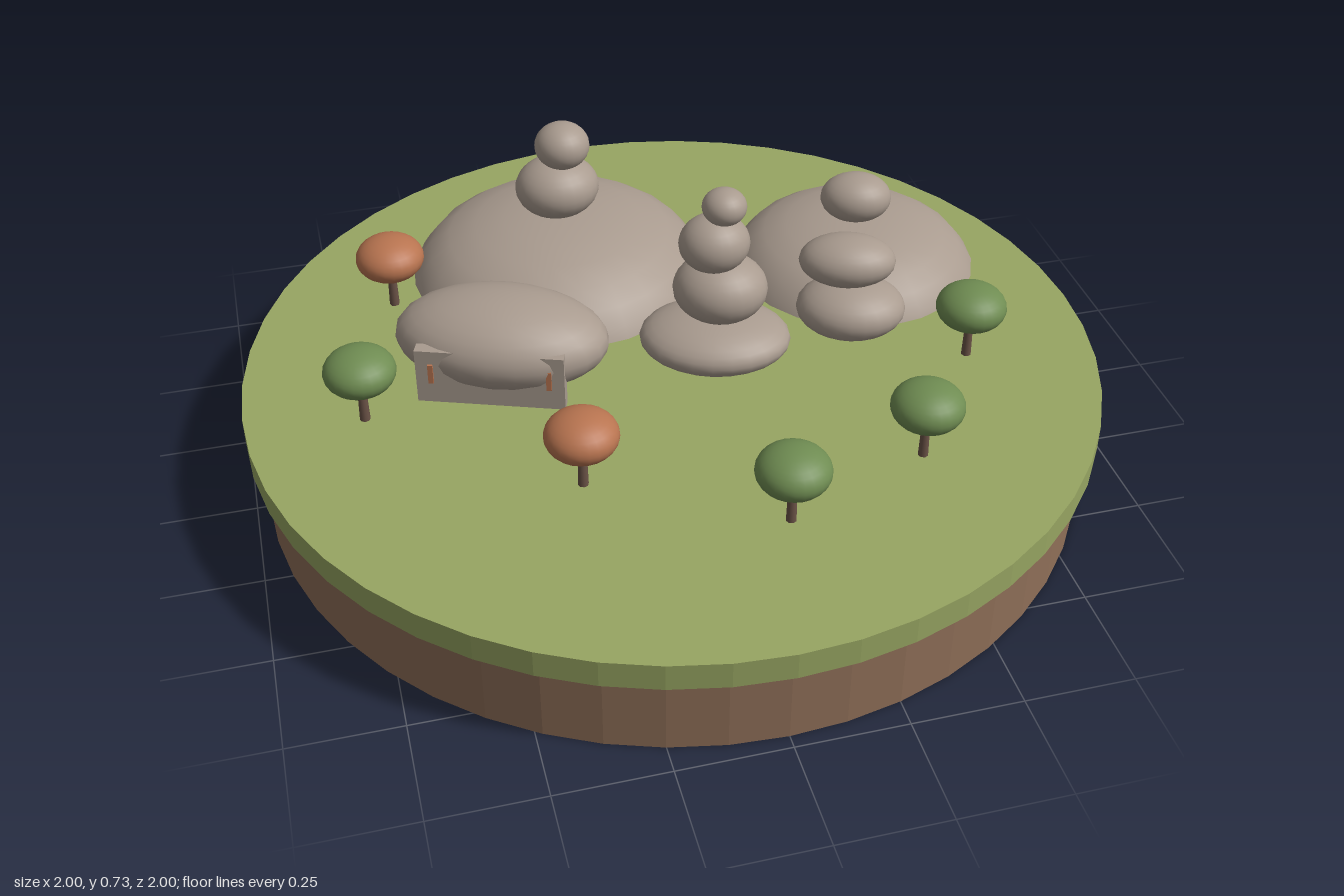
import * as THREE from 'three';

const flat = (name, color, extra = {}) => {
  const m = new THREE.MeshStandardMaterial({ color, ...extra });
  m.name = name;
  return m;
};

export function createModel() {
  const model = new THREE.Group();
  const earth = flat('earth brown', 0x8f6f58, { flatShading: true });
  const grass = flat('grass green', 0x97a562, { flatShading: true });
  const stone = flat('stone grey', 0xa99b8f);
  const bark = flat('bark brown', 0x6b5347);
  const leaf = flat('leaf green', 0x6f8c52);
  const autumn = flat('autumn orange', 0xb87450);
  const GROUND = 0.265;

  const add = (parent, name, geometry, material, x, y, z) => {
    const mesh = new THREE.Mesh(geometry, material);
    mesh.name = name;
    mesh.position.set(x, y, z);
    parent.add(mesh);
    return mesh;
  };
  const ball = new THREE.SphereGeometry(1, 24, 16);
  const ellipsoid = (parent, name, mat, [x, y, z, rx, ry, rz, turn = 0, tilt = 0]) => {
    const mesh = add(parent, name, ball, mat, x, y, z);
    mesh.scale.set(rx, ry, rz);
    mesh.rotation.set(0, turn, tilt);
    return mesh;
  };

  // Round island: earth drum with a wider grass slab
  add(model, 'earthBase', new THREE.CylinderGeometry(0.97, 0.97, 0.2, 48), earth, 0, 0.1, 0);
  add(model, 'grassTop', new THREE.CylinderGeometry(1, 1, 0.065, 48), grass, 0, 0.2325, 0);

  // Broad domed mounds with a short steep rim
  const mound = (name, x, z, r, h) => {
    const profile = [[1, -0.05], [0.995, 0], [0.95, 0.17], [0.87, 0.42], [0.74, 0.65],
      [0.56, 0.83], [0.36, 0.94], [0.17, 0.99], [0, 1]];
    const pts = profile.map(([a, b]) => new THREE.Vector2(a * r, b * h));
    add(model, name, new THREE.LatheGeometry(pts, 24), stone, x, GROUND, z);
  };
  mound('largeMound', -0.18, -0.44, 0.37, 0.155);
  mound('smallMound', 0.545, -0.285, 0.305, 0.125);

  // Stacked stones: x, y, z, radii, turn, tilt
  const stacks = {
    largeMoundStack: [
      [-0.18, 0.5, -0.435, 0.103, 0.075, 0.095],
      [-0.165, 0.615, -0.43, 0.067, 0.057, 0.067]],
    smallMoundStone: [[0.545, 0.447, -0.285, 0.088, 0.06, 0.073, -0.25]],
    tallStack: [
      [0.095, 0.327, 0.035, 0.177, 0.064, 0.136, -0.3],
      [0.107, 0.46, 0.03, 0.11, 0.08, 0.1, -0.3],
      [0.09, 0.588, 0.035, 0.082, 0.068, 0.076],
      [0.11, 0.685, 0.042, 0.051, 0.042, 0.051]],
    lowStack: [
      [0.437, 0.335, 0.01, 0.13, 0.069, 0.108, -0.3],
      [0.425, 0.463, 0, 0.114, 0.06, 0.08, -0.3]],
  };
  for (const [name, stones] of Object.entries(stacks)) {
    const group = new THREE.Group();
    group.name = name;
    stones.forEach((s) => ellipsoid(group, 'stone', stone, s));
    model.add(group);
  }

  // Boulder with a mostly buried front slab whose corners stick out
  ellipsoid(model, 'boulder', stone, [-0.395, 0.367, -0.035, 0.25, 0.107, 0.155, -0.4]);
  const front = new THREE.Group();
  front.name = 'boulderFront';
  front.position.set(-0.44, 0.335, 0.072);
  front.rotation.y = -0.35;
  model.add(front);
  add(front, 'slab', new THREE.BoxGeometry(0.34, 0.14, 0.03), stone, 0, 0, 0);
  for (const side of [-1, 1]) {
    add(front, 'slabMark', new THREE.BoxGeometry(0.012, 0.05, 0.006), autumn, side * 0.135, 0.01, 0.017);
  }

  // Trees with flattened round crowns
  const trunk = new THREE.CylinderGeometry(0.009, 0.012, 0.12, 8);
  const trees = [[-0.73, 0.065, leaf], [-0.608, -0.37, autumn], [-0.3, 0.405, autumn],
    [0.1, 0.625, leaf], [0.445, 0.492, leaf], [0.675, 0.168, leaf]];
  for (const [x, z, crown] of trees) {
    const tree = new THREE.Group();
    tree.name = 'tree';
    tree.position.set(x, GROUND, z);
    add(tree, 'trunk', trunk, bark, 0, 0.06, 0);
    ellipsoid(tree, 'crown', crown, [0, 0.136, 0, 0.082, 0.053, 0.082]);
    model.add(tree);
  }
  return model;
}
